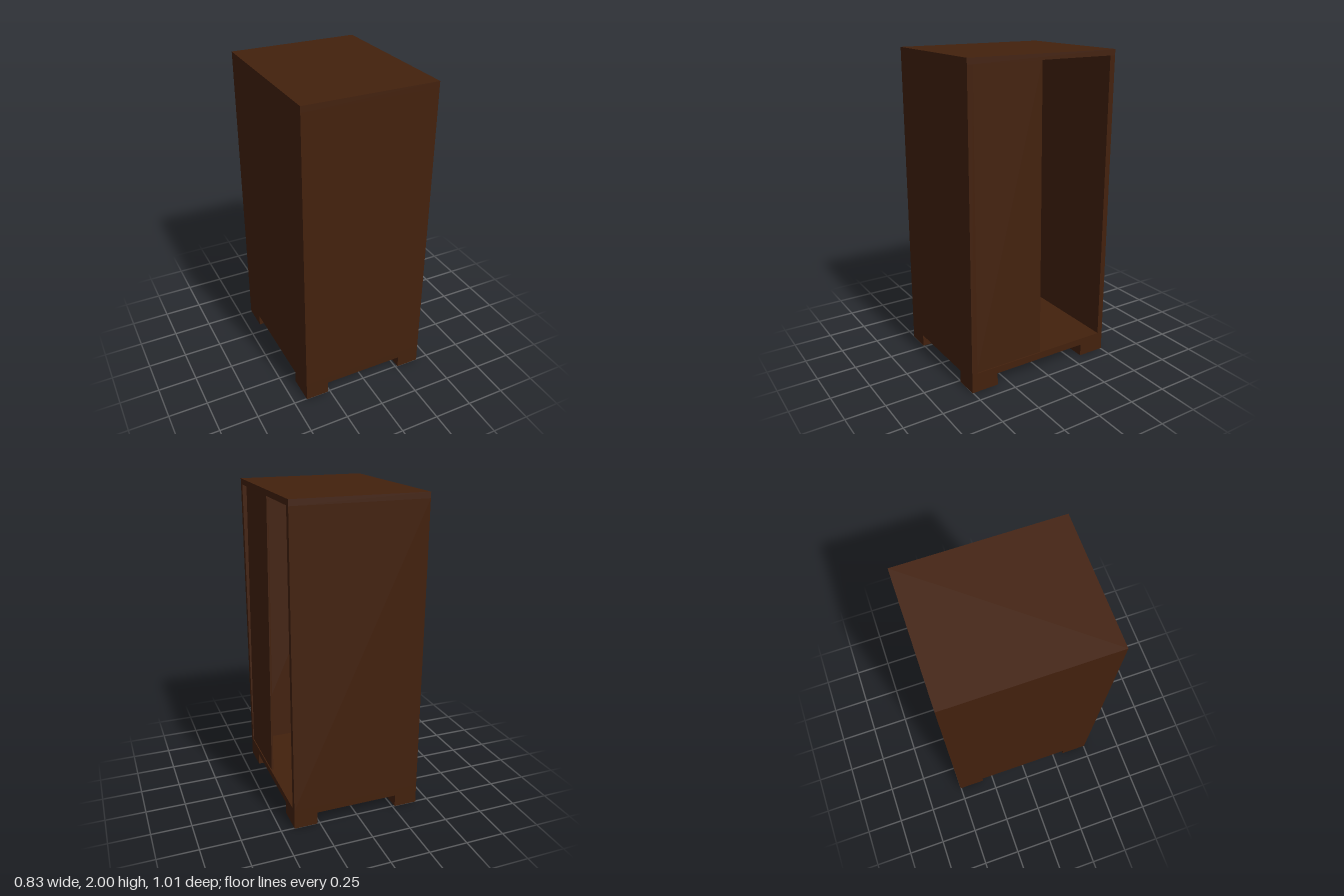
import * as THREE from 'three';

export function createModel() {
  const model = new THREE.Group();
  model.name = 'wardrobe';
  const wood = new THREE.MeshStandardMaterial({ color: 0x43210d });
  wood.name = 'dark wood';

  // Adds a box given its lower and upper corners
  function box(name, [x0, y0, z0], [x1, y1, z1]) {
    const mesh = new THREE.Mesh(new THREE.BoxGeometry(x1 - x0, y1 - y0, z1 - z0), wood);
    mesh.position.set((x0 + x1) / 2, (y0 + y1) / 2, (z0 + z1) / 2);
    mesh.name = name;
    model.add(mesh);
    return mesh;
  }

  const X = 0.415, Z = 0.505, H = 2, T = 0.036;
  const base = 0.08, floor = 0.125;

  // Cabinet shell, open towards +x
  box('bottomPanel', [-X, base, -Z], [X, floor, Z]);
  box('topPanel', [-X, H - T, -Z], [X, H, Z]);
  box('backPanel', [-X, floor, -Z + T], [-X + T, H - T, Z - T]);
  box('frontSidePanel', [-X, floor, Z - T], [X, H - T, Z]);
  box('rearSidePanel', [-X, floor, -Z], [X, H - T, -Z + T]);

  // Four corner feet
  for (const sx of [-1, 1]) {
    for (const sz of [-1, 1]) {
      const foot = box('foot', [0.265, 0, 0.325], [X, base, Z]);
      foot.position.x *= sx;
      foot.position.z *= sz;
    }
  }

  // Single door over half of the opening, its top leaning slightly inwards
  const door = box('door', [0.387, floor + 0.002, 0.004], [0.399, H - T - 0.002, Z - T]);
  door.rotation.z = 0.012;

  // Hanging rail, fixed to the side panel behind the door
  const railEnd = -0.125, railStart = Z - T;
  const rail = new THREE.Mesh(new THREE.CylinderGeometry(0.026, 0.026, railStart - railEnd, 24), wood);
  rail.rotation.x = Math.PI / 2;
  rail.position.set(0.01, 1.667, (railStart + railEnd) / 2);
  rail.name = 'hangingRail';
  model.add(rail);

  return model;
}
